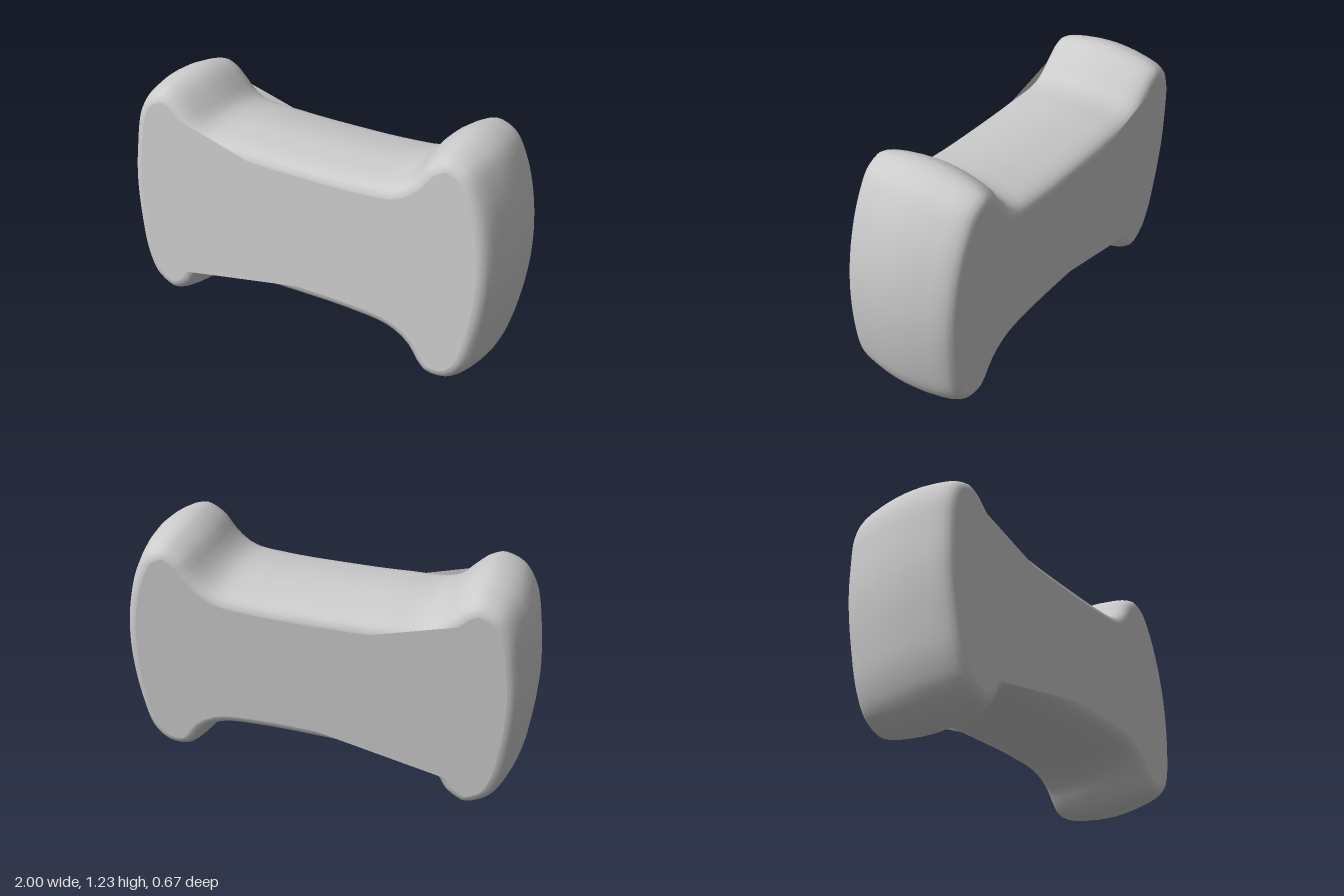
import * as THREE from 'three';

// Bone-shaped outline, counter-clockwise seen from the front
const OUTLINE = [
  [1, 0.6], [0.98, 0.85], [0.92, 1.06], [0.84, 1.19], [0.72, 1.235], [0.61, 1.18], [0.54, 1.09], [0.47, 1.035],
  [0.3, 1.012], [0, 1.002], [-0.3, 1.003], [-0.54, 1.02], [-0.62, 1.09], [-0.69, 1.15], [-0.77, 1.175],
  [-0.89, 1.125], [-0.96, 1.01], [-0.99, 0.82], [-1, 0.63], [-0.98, 0.4], [-0.94, 0.2], [-0.87, 0.07],
  [-0.73, 0.005], [-0.61, 0.07], [-0.56, 0.15], [-0.49, 0.2], [-0.3, 0.222], [0, 0.235], [0.3, 0.238],
  [0.48, 0.222], [0.56, 0.18], [0.62, 0.1], [0.67, 0.055], [0.75, 0.04], [0.84, 0.065], [0.92, 0.15], [0.97, 0.32],
];
// Half of the side profile: depth and inset from the outline
const HALF = [[0.05, 0.002], [0.1, 0.006], [0.18, 0.019], [0.225, 0.03], [0.255, 0.042], [0.275, 0.056], [0.287, 0.074], [0.29, 0.09]];
const N = 160;

const curve = new THREE.CatmullRomCurve3(OUTLINE.map(([x, y]) => new THREE.Vector3(x, y, 0)), true);

// Outline moved inwards by d
function insetLoop(d) {
  return Array.from({ length: N }, (_, i) => {
    const p = curve.getPointAt(i / N), t = curve.getTangentAt(i / N);
    return new THREE.Vector2(p.x - t.y * d, p.y + t.x * d);
  });
}

// Rounded, slightly bulging wall around the outline
function wallGeometry() {
  const stations = [...HALF.map(([z, d]) => [-z, d]).reverse(), [0, 0], ...HALF];
  const pos = [], index = [];
  stations.forEach(([z, d], j) => {
    insetLoop(d).forEach((p, i) => {
      pos.push(p.x, p.y, z);
      if (j === 0) return;
      const k = (i + 1) % N, lo = (j - 1) * N, hi = j * N;
      index.push(lo + i, lo + k, hi + k, lo + i, hi + k, hi + i);
    });
  });
  const g = new THREE.BufferGeometry();
  g.setAttribute('position', new THREE.Float32BufferAttribute(pos, 3));
  g.setIndex(index);
  g.computeVertexNormals();
  return g;
}

// Flat face that bridges the two hollows beside the -x lobes with straight edges
function faceGeometry(side) {
  const [z, d] = HALF[HALF.length - 1];
  const pts = insetLoop(d).filter((p) => {
    const upper = p.y > 0.62 && p.x > -0.67 && p.x < -0.28;
    const lower = p.y < 0.62 && p.x > -0.63 && p.x < 0;
    return !upper && !lower;
  });
  const g = new THREE.ShapeGeometry(new THREE.Shape(pts));
  if (side < 0) {
    const ix = g.index.array;
    for (let i = 0; i < ix.length; i += 3) [ix[i], ix[i + 1]] = [ix[i + 1], ix[i]];
  }
  g.translate(0, 0, side * z);
  g.computeVertexNormals();
  return g;
}

export function createModel() {
  const group = new THREE.Group();
  group.name = 'boneBlock';
  const material = new THREE.MeshStandardMaterial({ color: 0xcccccc, side: THREE.DoubleSide });
  // Slight backward lean and yaw of the whole block
  const lean = new THREE.Matrix4().makeRotationFromEuler(new THREE.Euler(-0.066, 0.017, 0))
    .multiply(new THREE.Matrix4().makeTranslation(0, -0.62, 0));
  const add = (name, geometry) => {
    geometry.applyMatrix4(lean);
    const mesh = new THREE.Mesh(geometry, material);
    mesh.name = name;
    group.add(mesh);
  };
  add('roundedWall', wallGeometry());
  add('frontFace', faceGeometry(1));
  add('backFace', faceGeometry(-1));

  // Stand on the ground, centred
  const box = new THREE.Box3().setFromObject(group, true);
  const c = box.getCenter(new THREE.Vector3());
  group.children.forEach((m) => m.geometry.translate(-c.x, -box.min.y, -c.z));
  return group;
}
